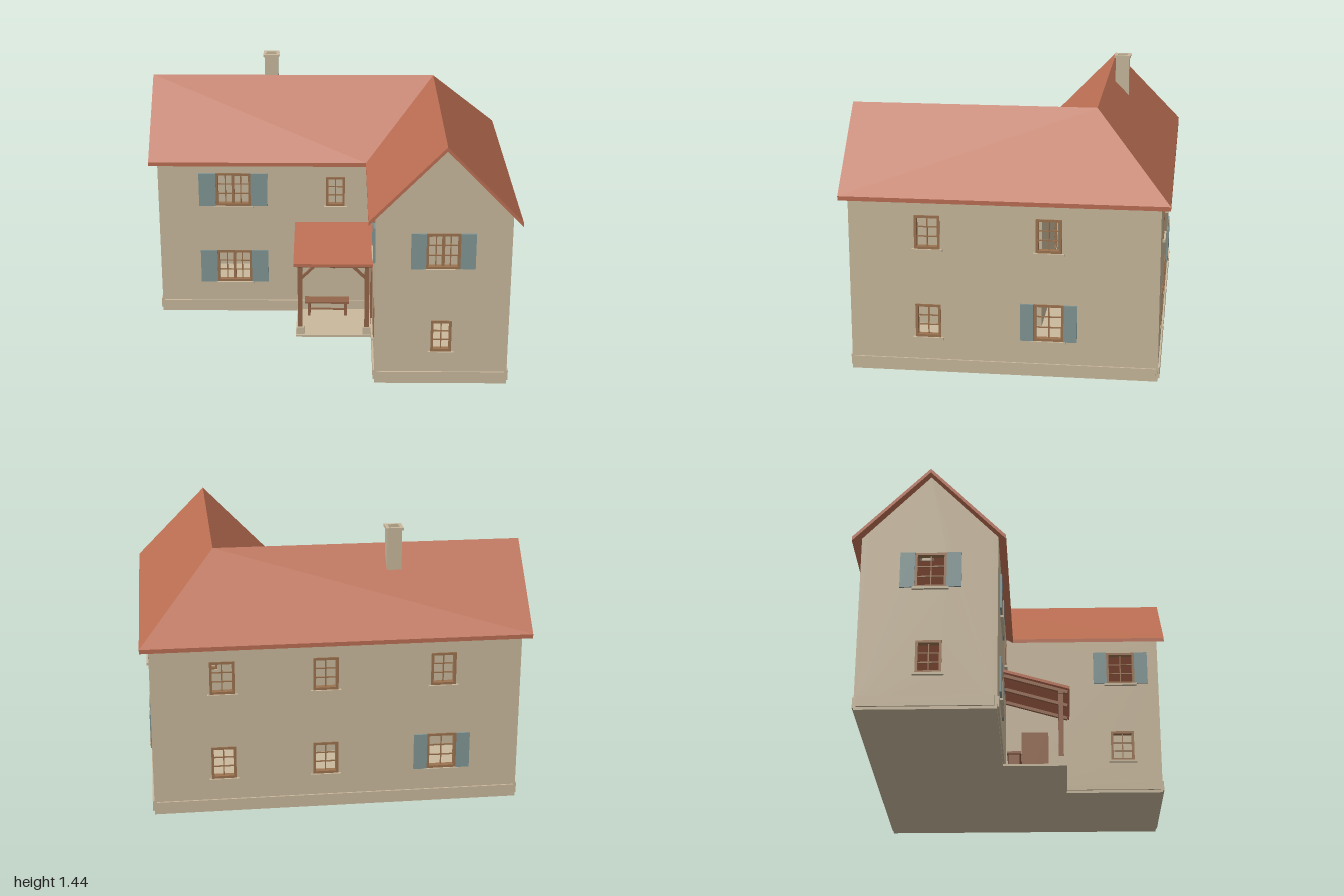
import * as THREE from 'three';

const mat = (name, color, side = THREE.FrontSide) => {
  const m = new THREE.MeshStandardMaterial({ color, side });
  m.name = name;
  return m;
};

export function createModel() {
  const plaster = mat('plaster', 0xc8b89c);
  const tile = mat('roofTile', 0xbb6e52);
  const paint = mat('shutterPaint', 0x809694);
  const frameWood = mat('windowWood', 0x9c7350);
  const timber = mat('porchTimber', 0x936549);
  const T = 0.03; // wall thickness
  const house = new THREE.Group();
  house.name = 'house';

  const add = (parent, name, geo, material, x = 0, y = 0, z = 0) => {
    const m = new THREE.Mesh(geo, material);
    m.name = name;
    m.position.set(x, y, z);
    parent.add(m);
    return m;
  };
  // box given by its minimum and maximum corners
  const box = (parent, name, material, x0, x1, y0, y1, z0, z1) =>
    add(parent, name, new THREE.BoxGeometry(x1 - x0, y1 - y0, z1 - z0), material,
      (x0 + x1) / 2, (y0 + y1) / 2, (z0 + z1) / 2);
  const polygon = (pts, Type = THREE.Shape) => new Type(pts.map(p => new THREE.Vector2(...p)));
  const rect = (u0, u1, y0, y1) => [[u0, y0], [u1, y0], [u1, y1], [u0, y1]];

  // window in wall space: frame, glazing bars, sill and optional shutters
  function addWindow(wall, { u, y, w, h, cols = 2, shutter = 0 }) {
    const g = new THREE.Group();
    g.name = 'window';
    g.position.set(u, y, 0);
    wall.add(g);
    const b = 0.013, hw = w / 2;
    const ring = polygon(rect(-hw, hw, 0, h));
    ring.holes.push(polygon(rect(-hw + b, hw - b, b, h - b), THREE.Path));
    add(g, 'windowFrame', new THREE.ExtrudeGeometry(ring, { depth: T + 0.002, bevelEnabled: false }), frameWood, 0, 0, 0.004 - T);
    for (let i = 1; i < cols; i++) {
      const x = -hw + b + (w - 2 * b) * i / cols;
      const s = i * 2 === cols && cols > 2 ? 0.008 : 0.003; // wider meeting stile
      box(g, 'verticalBar', frameWood, x - s, x + s, b, h - b, -0.016, -0.008);
    }
    for (let i = 1; i < 3; i++) {
      const yy = b + (h - 2 * b) * i / 3;
      box(g, 'horizontalBar', frameWood, -hw + b, hw - b, yy - 0.003, yy + 0.003, -0.015, -0.009);
    }
    box(g, 'sill', plaster, -hw - 0.013, hw + 0.013, -0.012, 0, -0.01, 0.016);
    if (shutter) for (const s of [-1, 1]) {
      const c = s * (hw + shutter / 2);
      box(g, 'shutter', paint, c - shutter / 2, c + shutter / 2, 0, h, 0.001, 0.011);
    }
  }

  // wall from u0 to u1 seen from outside, with optional gable and real openings
  function addWall(name, pos, turn, u0, u1, gable, windows) {
    const g = new THREE.Group();
    g.name = name;
    g.position.set(...pos);
    g.rotation.y = turn;
    house.add(g);
    const top = 0.945;
    const pts = [[u0, 0], [u1, 0], [u1, top]];
    if (gable !== null) pts.push([gable, 1.305]);
    pts.push([u0, top]);
    const shape = polygon(pts);
    for (const o of windows) {
      const hw = o.w / 2 - 0.001;
      shape.holes.push(polygon(rect(o.u - hw, o.u + hw, o.y + 0.001, o.y + o.h - 0.001), THREE.Path));
    }
    add(g, name + 'Panel', new THREE.ExtrudeGeometry(shape, { depth: T, bevelEnabled: false }), plaster, 0, 0, -T);
    box(g, 'plinth', plaster, u0 + 0.012, u1 - 0.012, 0.015, 0.07, 0, 0.009);
    windows.forEach(o => addWindow(g, o));
  }

  const LOW = 0.19, UP = 0.66;
  const small = (u, y, w = 0.13) => ({ u, y, w, h: 0.175 });
  const wide = (u, y, w = 0.2, cols = 4, shutter = 0.095) => ({ u, y, w, h: 0.195, cols, shutter });
  const Q = Math.PI / 2;

  addWall('mainFrontWall', [0, 0, -0.09], 0, -0.955, 0.26, null,
    [wide(-0.53, LOW), wide(-0.53, UP), small(0.05, UP, 0.105)]);
  addWall('wingFrontWall', [0, 0, 0.785], 0, 0.26, 0.955, 0.605,
    [wide(0.605, UP, 0.175, 4, 0.078), small(0.605, LOW, 0.108)]);
  addWall('eastWall', [0.955, 0, 0], Q, -0.785, 0.785, null,
    [small(-0.385, LOW), small(-0.385, UP), small(0.23, UP), wide(0.23, LOW + 0.003, 0.152, 2, 0.068)]);
  addWall('backWall', [0, 0, -0.785], 2 * Q, -0.955, 0.955, null,
    [small(-0.59, LOW), small(-0.59, UP), small(-0.06, LOW), small(-0.06, UP),
      small(0.55, UP), wide(0.55, LOW, 0.155, 2, 0.07)]);
  addWall('westWall', [-0.955, 0, 0], -Q, -0.785, -0.09, -0.44,
    [small(-0.43, LOW), wide(-0.43, UP, 0.16, 2, 0.075)]);
  addWall('wingInnerWall', [0.26, 0, 0], -Q, -0.09, 0.785, null,
    [small(0.57, LOW), wide(0.57, UP, 0.16, 2, 0.075)]);

  // floors
  box(house, 'mainFloor', plaster, -0.955, 0.955, 0, 0.006, -0.785, -0.09);
  box(house, 'wingFloor', plaster, 0.26, 0.955, 0, 0.006, -0.09, 0.785);
  box(house, 'porchFloor', plaster, -0.17, 0.26, 0, 0.012, -0.09, 0.25);

  // roof slab: top faces, the same faces lowered, and a fascia round the outline
  function slab(points, faces, outline, drop) {
    const v = [];
    const quad = (a, b, c, d) => v.push(...a, ...b, ...c, ...a, ...c, ...d);
    const down = p => [p[0], p[1] - drop, p[2]];
    for (const f of faces) {
      const q = [...f].map(k => points[k]);
      quad(...q);
      quad(...q.map(down).reverse());
    }
    [...outline].forEach((k, i) => {
      const p = points[k], n = points[outline[(i + 1) % outline.length]];
      quad(p, down(p), down(n), n);
    });
    const geo = new THREE.BufferGeometry();
    geo.setAttribute('position', new THREE.Float32BufferAttribute(v, 3));
    geo.computeVertexNormals();
    return geo;
  }
  const E = 0.932, R = 1.33;
  add(house, 'mainRoof', slab({
    A: [-1, E, -0.83], B: [1, E, -0.83], C: [1, E, 0.825], D: [0.22, E, 0.825],
    E: [0.22, E, -0.05], F: [-1, E, -0.05],
    W: [-1, R, -0.44], H: [0.608, R, -0.44], S: [0.608, R, 0.825],
  }, ['AWHB', 'WFEH', 'HEDS', 'HSCB'], 'AWFEDSCB', 0.022), tile);

  // hollow chimney with a projecting cap
  const chimney = (name, r, inner, y0, y1) => {
    const s = polygon(rect(-r, r, -r, r));
    s.holes.push(polygon(rect(-inner, inner, -inner, inner), THREE.Path));
    const geo = new THREE.ExtrudeGeometry(s, { depth: y1 - y0, bevelEnabled: false });
    geo.rotateX(-Q);
    add(house, name, geo, plaster, -0.322, y0, -0.515);
  };
  chimney('chimneyStack', 0.038, 0.028, 1.18, 1.426);
  chimney('chimneyCap', 0.045, 0.028, 1.426, 1.44);

  // porch
  const porch = new THREE.Group();
  porch.name = 'porch';
  house.add(porch);
  add(porch, 'porchRoof', slab({
    a: [-0.18, 0.56, -0.09], b: [-0.18, 0.455, 0.27], c: [0.26, 0.455, 0.27], d: [0.26, 0.56, -0.09],
  }, ['abcd'], 'abcd', 0.016), tile);
  for (const x of [-0.145, 0.04, 0.225]) {
    const rafter = add(porch, 'rafter', new THREE.BoxGeometry(0.018, 0.018, 0.36), timber, x, 0.484, 0.085);
    rafter.rotation.x = Math.atan2(0.105, 0.36);
  }
  box(porch, 'frontBeam', timber, -0.165, 0.255, 0.418, 0.437, 0.207, 0.233);
  for (const [x, s] of [[-0.145, 1], [0.228, -1]]) {
    box(porch, 'postBase', plaster, x - 0.022, x + 0.022, 0.01, 0.055, 0.198, 0.242);
    box(porch, 'post', timber, x - 0.013, x + 0.013, 0.055, 0.42, 0.207, 0.233);
    const brace = add(porch, 'brace', new THREE.BoxGeometry(0.105, 0.014, 0.016), timber, x + s * 0.04, 0.382, 0.22);
    brace.rotation.z = s * Math.PI / 4;
  }
  // door leaf on the wing wall
  box(porch, 'door', timber, 0.251, 0.26, 0.012, 0.36, 0.0, 0.15);

  // bench
  const bench = new THREE.Group();
  bench.name = 'bench';
  porch.add(bench);
  box(bench, 'benchSeat', timber, -0.125, 0.13, 0.09, 0.102, -0.07, 0.005);
  for (const x of [-0.1, 0.11]) box(bench, 'benchLeg', timber, x - 0.008, x + 0.008, 0.012, 0.09, -0.062, -0.003);
  box(bench, 'benchRail', timber, -0.1, 0.11, 0.036, 0.044, -0.038, -0.028);

  return house;
}
